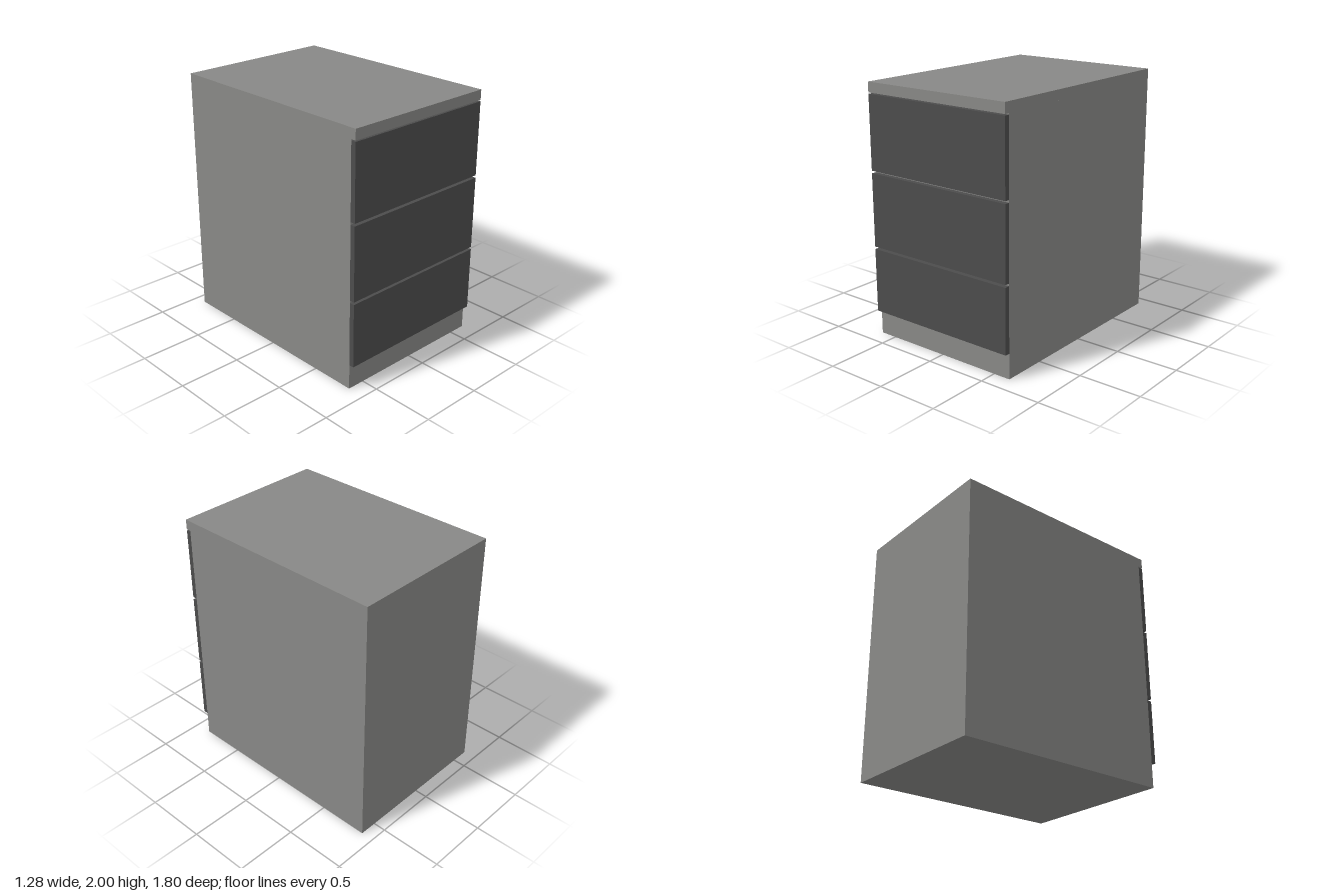
import * as THREE from 'three';

export function createModel() {
  const group = new THREE.Group();
  const bodyGrey = new THREE.MeshStandardMaterial({ color: 0x888886 });
  bodyGrey.name = 'bodyGrey';
  const drawerGrey = new THREE.MeshStandardMaterial({ color: 0x4c4c4c });
  drawerGrey.name = 'drawerGrey';

  const width = 1.28;
  const back = -0.9, carcassFront = 0.86, front = 0.9;

  // Full-width box given by its vertical and depth ranges
  function addBox(name, material, y0, y1, z0, z1) {
    const mesh = new THREE.Mesh(new THREE.BoxGeometry(width, y1 - y0, z1 - z0), material);
    mesh.position.set(0, (y0 + y1) / 2, (z0 + z1) / 2);
    mesh.name = name;
    group.add(mesh);
  }

  // Cabinet body with the plinth showing below the drawers
  addBox('carcass', bodyGrey, 0, 1.92, back, carcassFront);

  // Top panel overhanging the front
  addBox('topPanel', bodyGrey, 1.92, 2, back, front);

  // Three drawer fronts with narrow gaps between them
  const drawers = [
    ['bottomDrawerFront', 0.2, 0.71],
    ['middleDrawerFront', 0.73, 1.31],
    ['topDrawerFront', 1.33, 1.91],
  ];
  for (const [name, y0, y1] of drawers) addBox(name, drawerGrey, y0, y1, carcassFront, front);

  return group;
}
